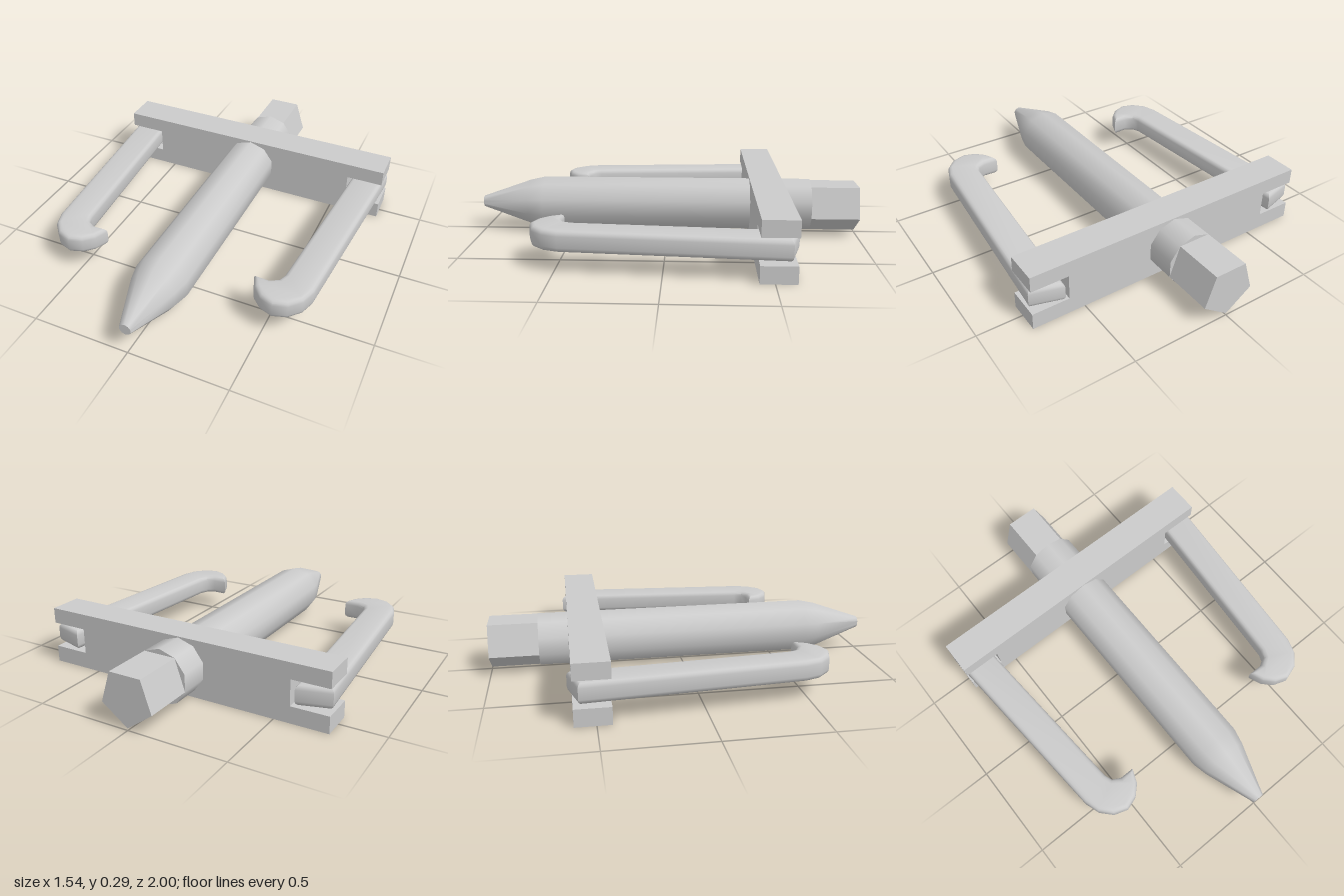
import * as THREE from 'three';
import { toCreasedNormals } from 'three/addons/utils/BufferGeometryUtils.js';

const AXIS_Y = 0.15; // height of the screw axis

export function createModel() {
  const group = new THREE.Group();
  group.name = 'gearPuller';
  const material = new THREE.MeshStandardMaterial({ color: 0xcccccc });

  function add(name, geometry, x = 0, y = 0, z = 0) {
    const mesh = new THREE.Mesh(geometry, material);
    mesh.name = name;
    mesh.position.set(x, y, z);
    group.add(mesh);
  }
  const shapeOf = (points) => new THREE.Shape(points.map(([x, y]) => new THREE.Vector2(x, y)));

  // Crossbar with an open slot at each end
  const w = 0.77, h = 0.295, slotX = 0.58, slotLow = 0.085, slotHigh = 0.215;
  const bar = new THREE.ExtrudeGeometry(shapeOf([
    [-w, 0], [w, 0], [w, slotLow], [slotX, slotLow], [slotX, slotHigh], [w, slotHigh],
    [w, h], [-w, h], [-w, slotHigh], [-slotX, slotHigh], [-slotX, slotLow], [-w, slotLow],
  ]), { depth: 0.17, bevelEnabled: false });
  add('crossbar', bar, 0, 0, -0.6);

  // Ten-sided screw with a tapered tip, closed at both ends
  const profile = [[0, -0.75], [0.14, -0.75], [0.14, 0.66], [0.122, 0.74], [0.03, 1], [0, 1]]
    .map(([r, z]) => new THREE.Vector2(r, z));
  const screw = new THREE.LatheGeometry(profile, 10).rotateX(Math.PI / 2);
  add('screw', toCreasedNormals(screw, 0.7), 0, AXIS_Y, 0);

  // Five-sided drive head, one corner pointing down
  const head = new THREE.CylinderGeometry(0.14, 0.14, 0.25, 5).rotateX(Math.PI / 2);
  add('driveHead', toCreasedNormals(head, 0.5), 0, AXIS_Y, -0.875);

  // Hooked arms: outline in x and z, with rounded edges
  const outline = [
    [0.61, -0.62], [0.772, -0.575], [0.69, 0.475], [0.665, 0.55], [0.612, 0.607],
    [0.542, 0.63], [0.475, 0.607], [0.428, 0.56], [0.4, 0.49], [0.475, 0.49],
    [0.515, 0.468], [0.53, 0.43],
  ];
  const bevel = 0.024, thickness = 0.102;
  for (const side of [1, -1]) {
    const arm = new THREE.ExtrudeGeometry(shapeOf(outline.map(([x, z]) => [side * x, z])), {
      depth: thickness - 2 * bevel,
      bevelThickness: bevel, bevelSize: bevel, bevelOffset: -bevel, bevelSegments: 3,
    });
    arm.translate(0, 0, -(thickness / 2 - bevel)).rotateX(Math.PI / 2);
    add(side > 0 ? 'leftArm' : 'rightArm', toCreasedNormals(arm, 0.75), 0, 0.153, 0);
  }

  return group;
}
